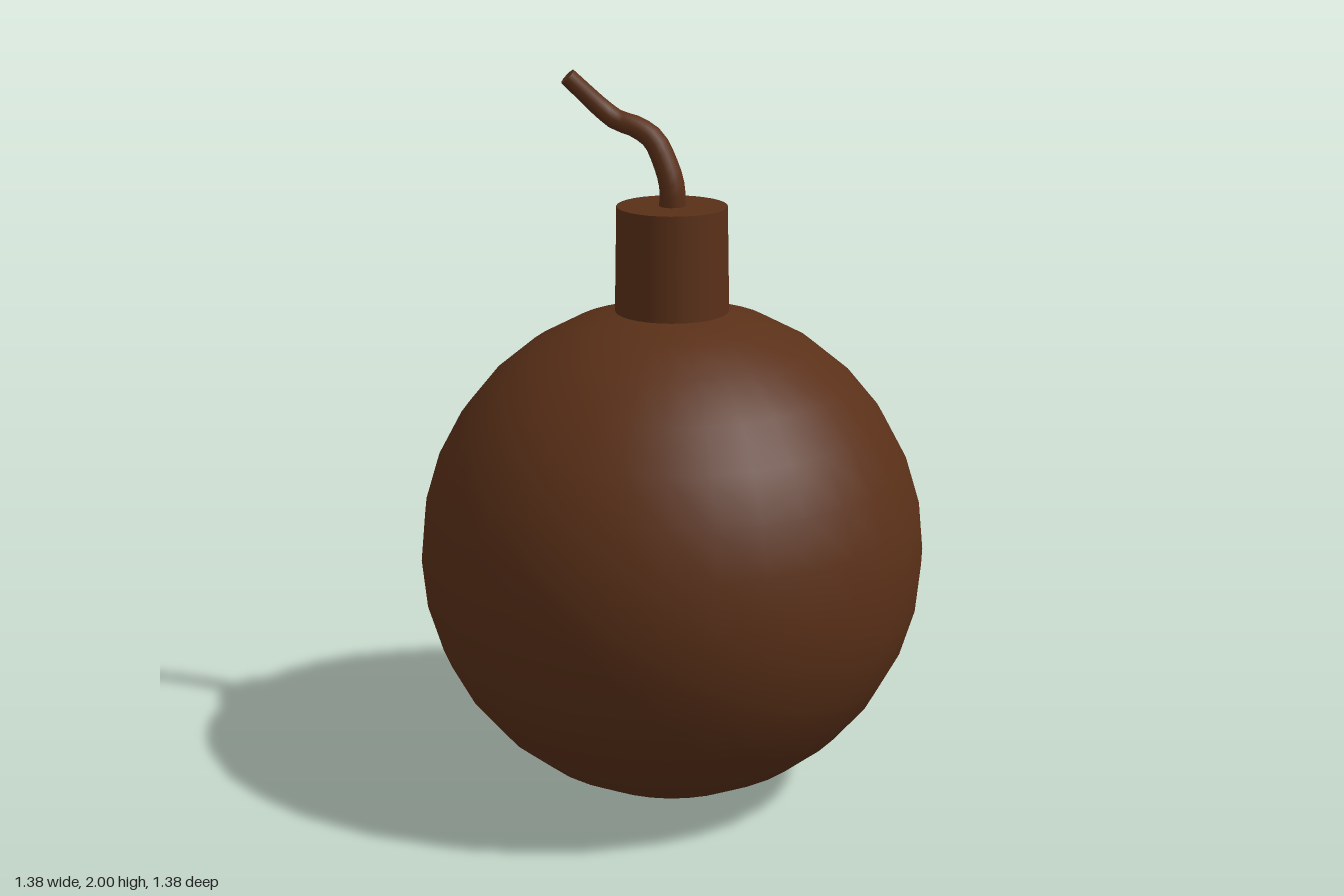
import * as THREE from 'three';

export function createModel() {
  const group = new THREE.Group();
  const material = new THREE.MeshStandardMaterial({ color: 0x5a3018 });
  const add = (name, geometry) => {
    const mesh = new THREE.Mesh(geometry, material);
    mesh.name = name;
    group.add(mesh);
    return mesh;
  };

  // Round body
  add('body', new THREE.SphereGeometry(0.69, 32, 16)).position.y = 0.693;

  // Slightly tapered neck, sunk a little into the body
  add('neck', new THREE.CylinderGeometry(0.148, 0.154, 0.32, 32)).position.y = 1.488;

  // Bent fuse, thinning towards its tip
  const path = new THREE.CatmullRomCurve3([
    [0, 1.62, 0], [0, 1.7, 0], [-0.022, 1.765, -0.008], [-0.055, 1.822, -0.017],
    [-0.108, 1.853, -0.024], [-0.155, 1.866, -0.028], [-0.193, 1.893, -0.026], [-0.28, 1.983, 0.01],
  ].map((p) => new THREE.Vector3(...p)));
  const rings = 18, sides = 10, baseRadius = 0.036, tipRadius = 0.024;
  const fuse = new THREE.TubeGeometry(path, rings, baseRadius, sides, false);
  const pos = fuse.attributes.position;
  const v = new THREE.Vector3();
  for (let i = 0; i < pos.count; i++) {
    const t = Math.floor(i / (sides + 1)) / rings;
    const centre = path.getPointAt(t);
    v.fromBufferAttribute(pos, i).sub(centre);
    v.multiplyScalar(THREE.MathUtils.lerp(1, tipRadius / baseRadius, t)).add(centre);
    pos.setXYZ(i, v.x, v.y, v.z);
  }
  add('fuse', fuse);

  // Flat end of the fuse
  const tip = add('fuseTip', new THREE.CircleGeometry(tipRadius, sides));
  tip.position.copy(path.getPointAt(1));
  tip.quaternion.setFromUnitVectors(new THREE.Vector3(0, 0, 1), path.getTangentAt(1));

  return group;
}
